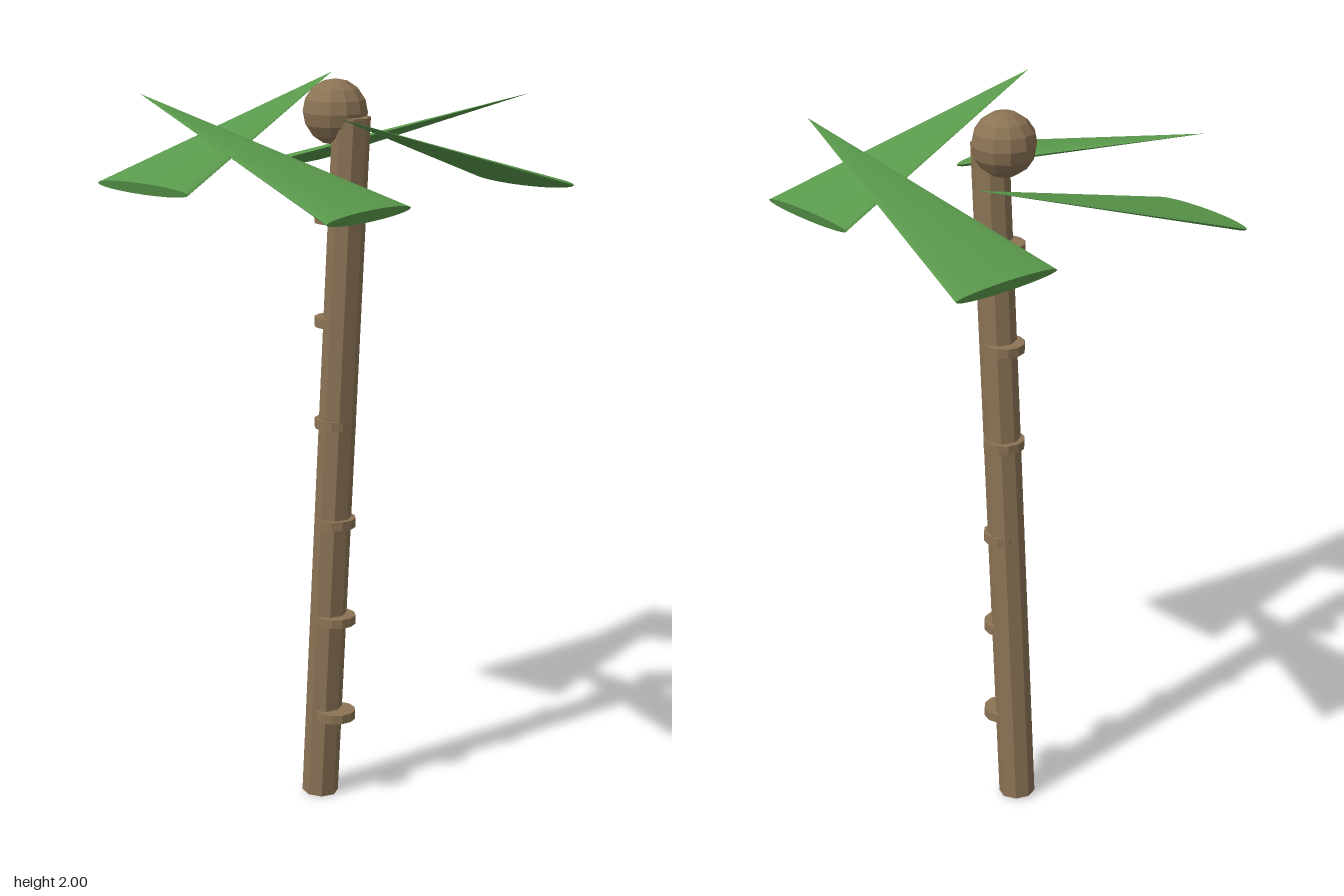
import * as THREE from 'three';

export function createModel() {
  const model = new THREE.Group();
  const bark = new THREE.MeshStandardMaterial({ color: 0x8b7355, flatShading: true });
  const green = new THREE.MeshStandardMaterial({ color: 0x5a9a4c, flatShading: true });

  const add = (name, geometry, material, parent = model) => {
    const mesh = new THREE.Mesh(geometry, material);
    mesh.name = name;
    parent.add(mesh);
    return mesh;
  };

  // Trunk, leaning forward
  const trunk = add('trunk', new THREE.CylinderGeometry(0.05, 0.05, 1.905, 8), bark);
  trunk.position.y = 0.956;
  trunk.rotation.x = 0.058;

  // Level rings stacked on the vertical axis
  for (let i = 0; i < 6; i++) {
    const ring = add('trunkRing', new THREE.CylinderGeometry(0.056, 0.056, 0.025, 12), bark);
    ring.position.y = 0.247 + i * 0.278;
  }

  // Round crown
  const crown = add('crown', new THREE.SphereGeometry(0.086, 12, 8), bark);
  crown.position.y = 1.914;

  // Four flattened cone fronds set in a pinwheel around the crown
  for (let i = 0; i < 4; i++) {
    const pivot = new THREE.Group();
    pivot.name = 'frondPivot';
    pivot.rotation.y = (i * Math.PI) / 2;
    model.add(pivot);
    const frond = add('frond', new THREE.ConeGeometry(0.162, 0.8, 24), green, pivot);
    frond.scale.x = 0.1;
    frond.rotation.z = Math.PI / 2 - 0.3;
    frond.position.set(0, 1.843, 0.33);
  }

  return model;
}
